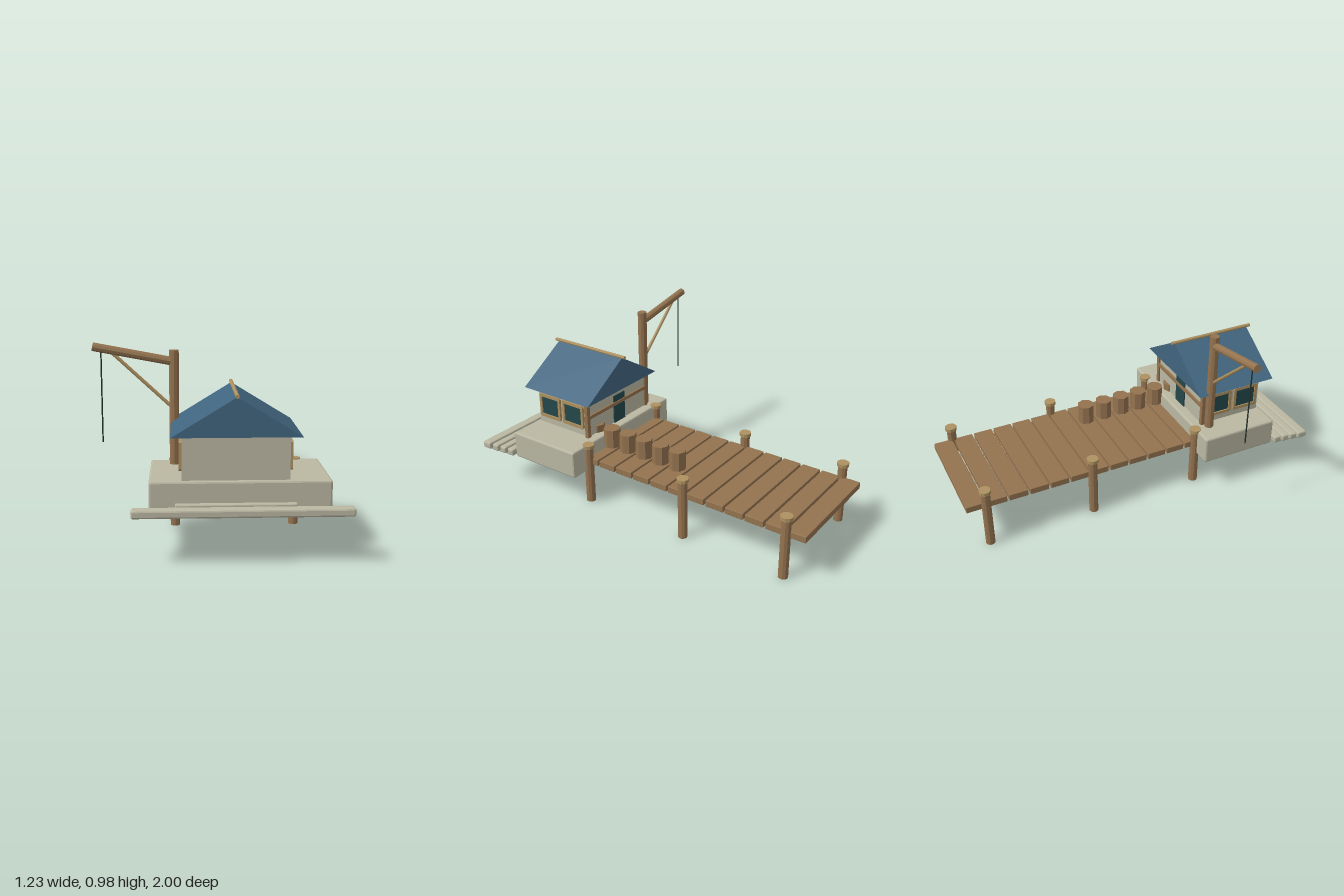
import * as THREE from 'three';
import { RoundedBoxGeometry } from 'three/addons/geometries/RoundedBoxGeometry.js';

const mat = (name, color, flat = true) => {
  const m = new THREE.MeshStandardMaterial({ color, flatShading: flat });
  m.name = name;
  return m;
};

export function createModel() {
  const group = new THREE.Group();
  const stone = mat('stone', 0xbab7a2);
  const wood = mat('wood', 0x94734f);
  const tan = mat('pale wood', 0xad9160);
  const blue = mat('roof blue', 0x41657f);
  const glass = mat('dark glass', 0x24474a);
  const rope = mat('rope', 0x26332c);

  const add = (name, geo, material, x = 0, y = 0, z = 0) => {
    const m = new THREE.Mesh(geo, material);
    m.name = name;
    m.position.set(x, y, z);
    group.add(m);
    return m;
  };
  // box given by its min and max corners, with an optional bevel
  const box = (name, material, [x0, y0, z0], [x1, y1, z1], bevel = 0) => {
    const s = [x1 - x0, y1 - y0, z1 - z0];
    const geo = bevel ? new RoundedBoxGeometry(...s, 1, bevel) : new THREE.BoxGeometry(...s);
    return add(name, geo, material, (x0 + x1) / 2, (y0 + y1) / 2, (z0 + z1) / 2);
  };
  // round pole between two points
  const pole = (name, material, a, b, r, sides = 8) => {
    const p = new THREE.Vector3(...a), q = new THREE.Vector3(...b);
    const d = q.clone().sub(p);
    const m = add(name, new THREE.CylinderGeometry(r, r, d.length(), sides), material);
    m.position.copy(p).add(q).multiplyScalar(0.5);
    m.quaternion.setFromUnitVectors(new THREE.Vector3(0, 1, 0), d.normalize());
    return m;
  };

  // deck planks
  for (let i = 0; i < 12; i++) {
    const z = -1 + i * 0.118;
    box('deckPlank', wood, [-0.21, 0.238, z], [0.412, 0.275, z + 0.106], 0.003);
  }

  // pier posts with caps
  for (const x of [-0.212, 0.414]) for (const z of [-0.892, -0.283, 0.358]) {
    pole('pierPost', wood, [x, 0, z], [x, 0.345, z], 0.026, 10);
    pole('postCap', tan, [x, 0.34, z], [x, 0.36, z], 0.033, 10);
  }

  // row of barrels, the last one half inside the house wall
  for (let i = 0; i < 6; i++) {
    const z = -0.125 + i * 0.114;
    pole('barrel', wood, [0.238, 0.288, z], [0.238, 0.398, z], 0.048, 8);
  }

  // stone base and front ledge
  box('stoneBase', stone, [-0.335, 0.197, 0.36], [0.54, 0.355, 0.81], 0.01);
  box('frontLedge', stone, [-0.21, 0.2, 0.79], [0.37, 0.25, 0.84], 0.005);

  // steps rising and widening outwards
  for (let i = 0; i < 4; i++) {
    const half = 0.452 + i * 0.02, y = 0.197 + i * 0.012, z = 0.825 + i * 0.039;
    box('frontStep', stone, [0.102 - half, y, z], [0.102 + half, y + 0.04, z + 0.058], 0.009);
  }

  // house
  box('houseWalls', stone, [-0.178, 0.345, 0.418], [0.338, 0.575, 0.79]);
  const gable = new THREE.Shape([
    new THREE.Vector2(-0.31, 0), new THREE.Vector2(0.31, 0), new THREE.Vector2(0, 0.19)]);
  add('roof', new THREE.ExtrudeGeometry(gable, { depth: 0.478, bevelEnabled: false }),
    blue, 0.08, 0.573, 0.37);
  pole('ridgePole', tan, [0.08, 0.768, 0.35], [0.08, 0.768, 0.87], 0.01, 8);

  // back timber frame and door
  for (const x of [-0.18, 0.343])
    box('cornerPost', wood, [x - 0.012, 0.352, 0.408], [x + 0.012, 0.573, 0.43]);
  box('backRail', wood, [-0.18, 0.467, 0.406], [0.343, 0.487, 0.424]);
  box('door', glass, [0.02, 0.355, 0.411], [0.118, 0.525, 0.419]);

  // two framed windows on each side wall
  for (const side of [-1, 1]) for (const z of [0.697, 0.524]) {
    const wall = 0.08 + side * 0.258;
    const hole = new THREE.Path([[-0.062, -0.054], [-0.062, 0.054], [0.062, 0.054], [0.062, -0.054]]
      .map(p => new THREE.Vector2(...p)));
    const frame = new THREE.Shape([[-0.07, -0.072], [0.07, -0.072], [0.077, -0.065], [0.077, 0.065],
      [0.07, 0.072], [-0.07, 0.072], [-0.077, 0.065], [-0.077, -0.065]]
      .map(p => new THREE.Vector2(...p)));
    frame.holes.push(hole);
    const f = add('windowFrame', new THREE.ExtrudeGeometry(frame, { depth: 0.014, bevelEnabled: false }),
      tan, wall, 0.47, z);
    f.rotation.y = side * Math.PI / 2;
    const pane = add('windowPane', new THREE.BoxGeometry(0.008, 0.11, 0.126), glass, wall + side * 0.003, 0.47, z);
    pane.scale.x = 0.9;
  }

  // crane
  const cz = 0.447;
  pole('craneMast', wood, [-0.212, 0.3, cz], [-0.212, 0.938, cz], 0.026, 10);
  pole('craneBoom', wood, [-0.616, 0.956, cz], [-0.212, 0.88, cz], 0.022, 10);
  pole('craneBrace', tan, [-0.525, 0.93, cz], [-0.215, 0.642, cz], 0.009, 8);
  pole('craneRope', rope, [-0.575, 0.47, cz], [-0.575, 0.94, cz], 0.004, 6);

  return group;
}
